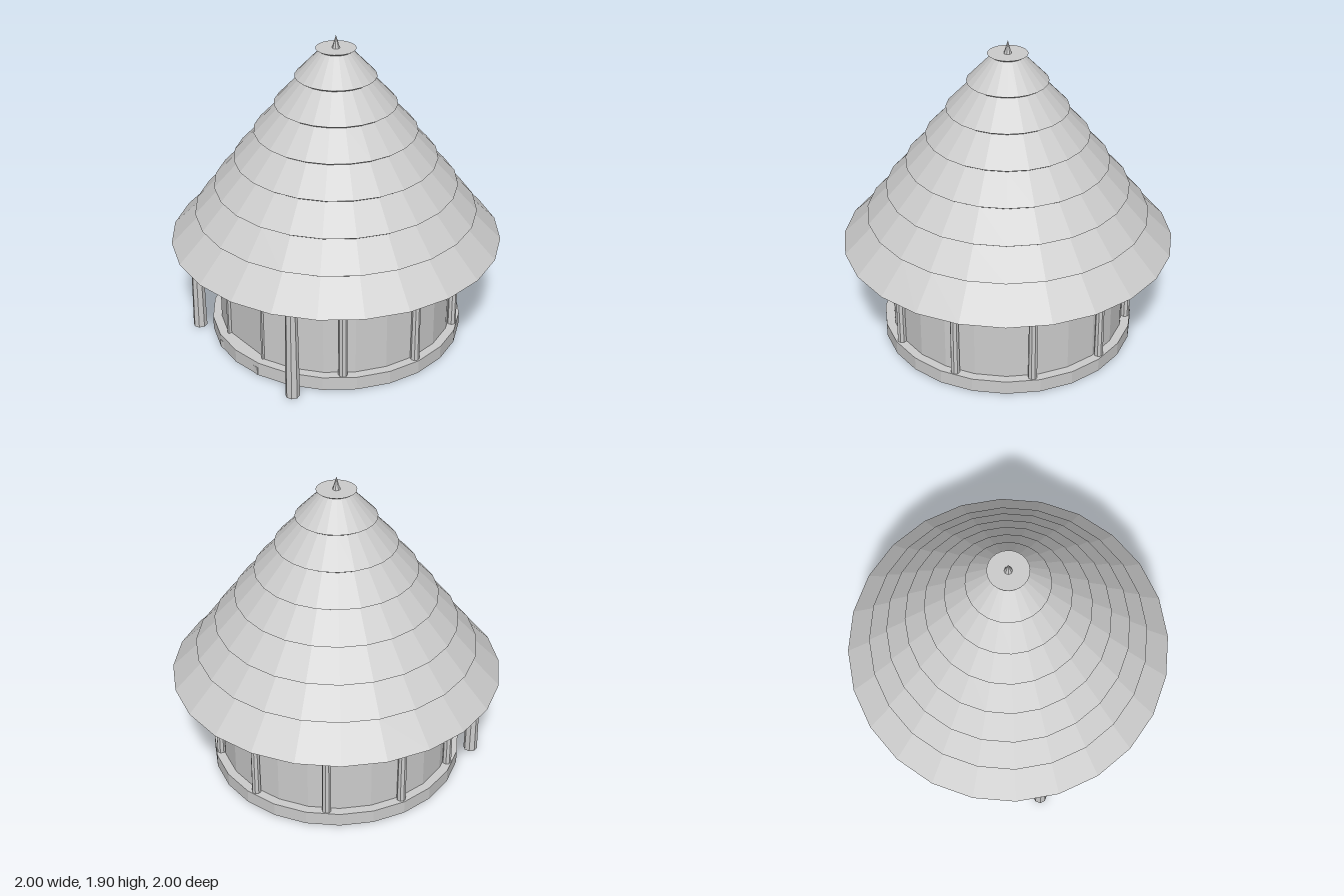
import * as THREE from 'three';

export function createModel() {
  const hut = new THREE.Group();
  hut.name = 'roundHut';
  const grey = new THREE.MeshStandardMaterial({ color: 0xcccccc, side: THREE.DoubleSide });
  grey.name = 'plain grey';
  const SIDES = 24;

  // Adds a faceted mesh
  function add(name, geometry, x = 0, y = 0, z = 0) {
    const flat = geometry.toNonIndexed();
    flat.computeVertexNormals();
    const mesh = new THREE.Mesh(flat, grey);
    mesh.name = name;
    mesh.position.set(x, y, z);
    hut.add(mesh);
  }
  const lathe = (points) =>
    new THREE.LatheGeometry(points.map(([r, y]) => new THREE.Vector2(r, y)), SIDES);

  // Tiered thatch: a stepped shell, open below, up to the flat cap
  const rims = [[1, 0.63], [0.85, 0.817], [0.73, 0.985], [0.607, 1.154],
    [0.485, 1.322], [0.362, 1.49], [0.24, 1.658], [0.118, 1.824]];
  const roof = [];
  rims.forEach(([r, y], i) => {
    if (i > 0) roof.push([r - 0.022, y - 0.014]);
    roof.push([r, y]);
  });
  roof.push([0, 1.824]);
  add('thatchedRoof', lathe(roof));
  add('roofSpike', new THREE.ConeGeometry(0.024, 0.08, 8), 0, 1.862, 0);

  // Plinth, hollow below, with the floor as its top
  add('plinth', lathe([[0.774, 0], [0.774, 0.085], [0, 0.085]]));
  add('threshold', new THREE.BoxGeometry(0.38, 0.05, 0.02), 0, 0.025, 0.744);

  // Wall with a doorway one facet wide on each side of the front
  const step = (Math.PI * 2) / SIDES;
  const wallPiece = (name, bottom, top, start, facets) =>
    add(name, new THREE.CylinderGeometry(0.72, 0.72, top - bottom, facets, 1, true,
      start * step, facets * step), 0, (bottom + top) / 2, 0);
  wallPiece('wall', 0.085, 0.65, 1, SIDES - 2);
  wallPiece('wallAboveDoor', 0.525, 0.65, -1, 2);

  // Door set slightly back between its jambs
  add('door', new THREE.BoxGeometry(0.372, 0.445, 0.02), 0, 0.3075, 0.675);
  for (const side of [-1, 1]) {
    add('doorJamb', new THREE.BoxGeometry(0.016, 0.44, 0.03), side * 0.174, 0.305, 0.69);
  }

  // Hollow post, slightly tapered
  const post = (name, topRadius, bottomRadius, height, x, z) =>
    add(name, new THREE.CylinderGeometry(topRadius, bottomRadius, height, 8, 1, true),
      x, height / 2, z);

  // Ring of wall posts, leaving out the two places beside the door
  for (let i = 1; i < 9; i++) {
    const a = (i + 0.5) * Math.PI / 5;
    post('wallPost', 0.024, 0.028, 0.725, Math.sin(a) * 0.738, Math.cos(a) * 0.738);
  }

  // Free-standing porch posts
  for (const side of [-1, 1]) post('porchPost', 0.035, 0.043, 0.635, side * 0.476, 0.71);
  return hut;
}
